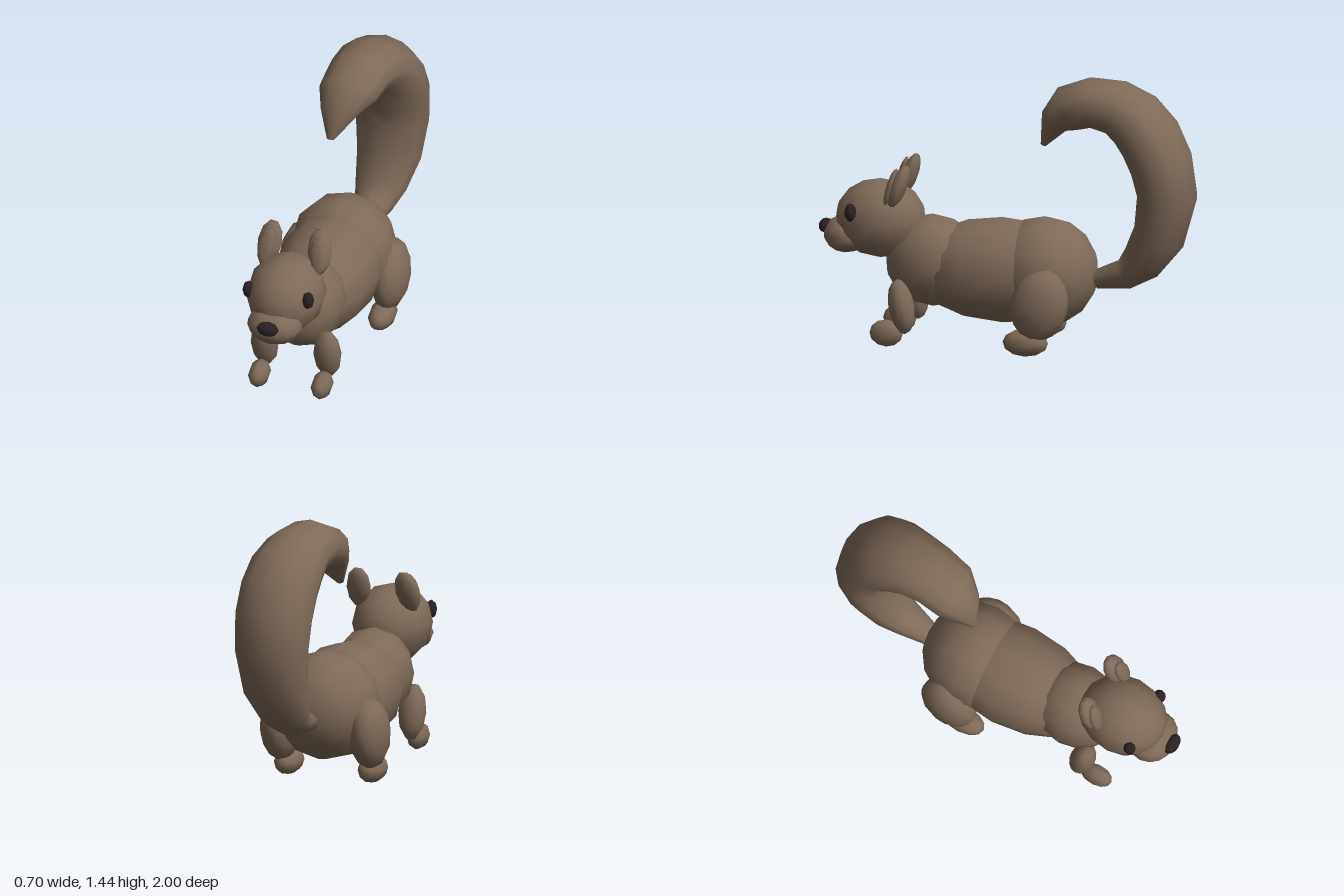
import * as THREE from 'three';

const fur = new THREE.MeshStandardMaterial({ color: 0x7f6a58 });
fur.name = 'brown fur';
const dark = new THREE.MeshStandardMaterial({ color: 0x2c2124 });
dark.name = 'dark eyes and nose';

// Low-poly ellipsoid with its poles along z
function blob(parent, name, pos, radii, { rot = [0, 0, 0], segs = 12, rings = 8, mat = fur } = {}) {
  const geo = new THREE.SphereGeometry(1, segs, rings);
  geo.rotateX(Math.PI / 2);
  geo.scale(...radii);
  const mesh = new THREE.Mesh(geo, mat);
  mesh.name = name;
  mesh.position.set(...pos);
  mesh.rotation.set(...rot);
  parent.add(mesh);
  return mesh;
}

// Mirrored pair: the left one is at +x
function pair(parent, name, [x, y, z], radii, opts = {}) {
  const [rx, ry, rz] = opts.rot || [0, 0, 0];
  for (const s of [1, -1]) {
    const side = s > 0 ? 'left' : 'right';
    blob(parent, side + name, [s * x, y, z], radii, { ...opts, rot: [rx, s * ry, s * rz] });
  }
}

// Tail lofted from elliptical rings: each row is x, y, z, radius
function makeTail() {
  const rows = [
    [0.0, 0.38, -0.465, 0.05], [0.01, 0.415, -0.615, 0.08], [0.02, 0.485, -0.705, 0.11],
    [0.03, 0.63, -0.80, 0.138], [0.033, 0.85, -0.845, 0.158], [0.035, 1.015, -0.815, 0.165],
    [0.03, 1.145, -0.755, 0.165], [0.02, 1.24, -0.675, 0.158], [0.008, 1.30, -0.57, 0.143],
    [-0.005, 1.315, -0.435, 0.132], [-0.02, 1.275, -0.318, 0.125], [-0.04, 1.20, -0.235, 0.08],
    [-0.065, 1.065, -0.17, 0.015],
  ];
  const N = 12, WIDE = 1.27, pos = [], idx = [];
  const centres = rows.map(([x, y, z]) => new THREE.Vector3(x, y, z));
  const xAxis = new THREE.Vector3(1, 0, 0);
  rows.forEach((row, i) => {
    const a = centres[Math.max(i - 1, 0)], b = centres[Math.min(i + 1, rows.length - 1)];
    const t = b.clone().sub(a).setX(0).normalize();
    const n = t.cross(xAxis);
    for (let j = 0; j < N; j++) {
      const ang = (j / N) * Math.PI * 2;
      const p = centres[i].clone()
        .addScaledVector(xAxis, Math.cos(ang) * row[3] * WIDE)
        .addScaledVector(n, Math.sin(ang) * row[3]);
      pos.push(p.x, p.y, p.z);
      if (i < rows.length - 1) {
        const p0 = i * N + j, p1 = i * N + (j + 1) % N;
        idx.push(p0, p1, p0 + N, p1, p1 + N, p0 + N);
      }
    }
  });
  // End caps
  const last = (rows.length - 1) * N, c0 = rows.length * N, c1 = c0 + 1;
  for (const c of [centres[0], centres[rows.length - 1]]) pos.push(c.x, c.y, c.z);
  for (let j = 0; j < N; j++) {
    const k = (j + 1) % N;
    idx.push(c0, k, j, c1, last + j, last + k);
  }
  const geo = new THREE.BufferGeometry();
  geo.setAttribute('position', new THREE.Float32BufferAttribute(pos, 3));
  geo.setIndex(idx);
  geo.computeVertexNormals();
  const mesh = new THREE.Mesh(geo, fur);
  mesh.name = 'tail';
  return mesh;
}

export function createModel() {
  const model = new THREE.Group();
  model.name = 'squirrel';

  // Body
  const body = new THREE.Group();
  body.name = 'body';
  blob(body, 'chest', [0, 0.44, 0.40], [0.215, 0.245, 0.245]);
  blob(body, 'torso', [0, 0.405, 0.03], [0.27, 0.28, 0.48]);
  blob(body, 'hips', [0, 0.41, -0.19], [0.28, 0.29, 0.28]);

  // Head
  const head = new THREE.Group();
  head.name = 'head';
  blob(head, 'skull', [0, 0.65, 0.675], [0.205, 0.21, 0.235]);
  blob(head, 'snout', [0, 0.56, 0.85], [0.147, 0.1, 0.122]);
  blob(head, 'nose', [0, 0.595, 0.963], [0.06, 0.04, 0.037], { segs: 8, rings: 6, mat: dark });
  pair(head, 'Eye', [0.163, 0.708, 0.8], [0.032, 0.05, 0.032], { segs: 8, rings: 6, mat: dark });
  pair(head, 'Ear', [0.137, 0.855, 0.55], [0.066, 0.122, 0.042], { rot: [-0.35, 0, 0.1], segs: 10 });
  pair(head, 'InnerEar', [0.143, 0.85, 0.592], [0.045, 0.104, 0.022], { rot: [-0.28, 0, 0.1], segs: 10 });

  // Legs and feet
  const legs = new THREE.Group();
  legs.name = 'legs';
  pair(legs, 'Haunch', [0.25, 0.285, -0.215], [0.1, 0.195, 0.15], { rot: [-0.25, 0, 0] });
  pair(legs, 'HindFoot', [0.235, 0.08, -0.138], [0.07, 0.072, 0.12], { segs: 10, rings: 6 });
  pair(legs, 'FrontLeg', [0.172, 0.225, 0.53], [0.074, 0.15, 0.066], { rot: [0.17, 0, 0], segs: 10 });
  pair(legs, 'FrontFoot', [0.172, 0.08, 0.61], [0.055, 0.072, 0.088], { segs: 8, rings: 6 });

  model.add(body, head, legs, makeTail());

  // Rest exactly on the ground
  const box = new THREE.Box3().setFromObject(model, true);
  for (const part of model.children) part.position.y -= box.min.y;
  return model;
}
